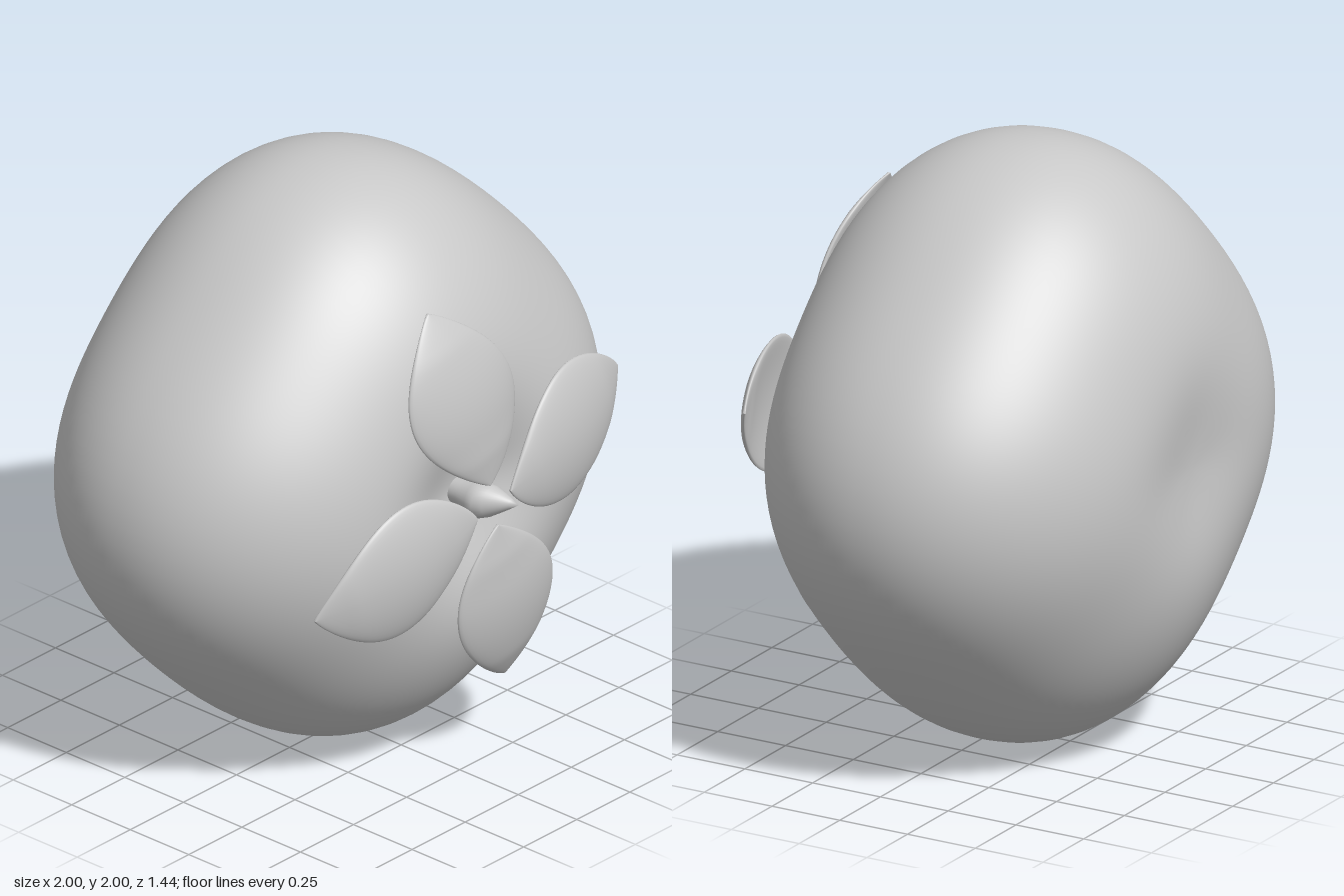
import * as THREE from 'three';
import { mergeVertices } from 'three/addons/utils/BufferGeometryUtils.js';

const skin = new THREE.MeshStandardMaterial({ color: 0xc8c8c8 });
skin.name = 'plain grey';

function part(name, geometry) {
  const mesh = new THREE.Mesh(geometry, skin);
  mesh.name = name;
  return mesh;
}

// Weld a geometry along its seams and give it smooth normals
function smooth(geometry) {
  geometry.deleteAttribute('uv');
  geometry.deleteAttribute('normal');
  const welded = mergeVertices(geometry, 1e-5);
  welded.computeVertexNormals();
  return welded;
}

// Fruit: flattened, four-lobed ball with a pit at the front and a faint hollow at the back
function fruitGeometry() {
  const geo = new THREE.SphereGeometry(1, 96, 96).rotateX(Math.PI / 2);
  const pos = geo.attributes.position;
  const power = (v) => Math.sign(v) * Math.abs(v) ** (2 / 2.1);
  for (let i = 0; i < pos.count; i++) {
    const x = pos.getX(i), y = pos.getY(i), z = pos.getZ(i);
    const angle = Math.atan2(y, x);
    const r = power(Math.hypot(x, y));
    const lobed = r * (0.96 + 0.04 * Math.cos(4 * angle));
    const hollow = Math.exp(-((r / 0.3) ** 2));
    const depth = z > 0 ? power(z) * 0.715 - 0.16 * hollow : power(z) * 0.7 + 0.075 * hollow;
    pos.setXYZ(i, lobed * Math.cos(angle), lobed * Math.sin(angle), depth - 0.07);
  }
  return smooth(geo);
}

// Sepal: thin cupped leaf along +x, lofted from flat rounded cross-sections
function sepalGeometry() {
  const rings = 40, sides = 40, start = 0.08, end = 0.735;
  const points = [], index = [];
  for (let i = 0; i <= rings; i++) {
    const t = 0.5 - 0.5 * Math.cos((Math.PI * i) / rings);
    const u = start + (end - start) * t;
    const upper = 0.228 * Math.max(0, Math.sin(Math.PI * t ** 1.12)) ** 0.8;
    const lower = 0.222 * Math.max(0, Math.sin(Math.PI * t ** 0.86)) ** 0.85;
    const thick = 0.02 * Math.min(1, 0.25 + 4 * Math.min(t, 1 - t));
    for (let j = 0; j < sides; j++) {
      const a = (j / sides) * Math.PI * 2;
      const c = Math.cos(a), s = Math.sin(a);
      const v = c * (c > 0 ? upper : lower);
      const h = Math.sign(s) * Math.abs(s) ** 0.8 * thick;
      points.push(u, v, 0.645 - 0.63 * Math.max(0, u - 0.3) ** 2 - 0.7 * v * v + h);
      if (i < rings) {
        const p = i * sides + j, q = i * sides + ((j + 1) % sides);
        index.push(p, p + sides, q, q, p + sides, q + sides);
      }
    }
  }
  // Close both ends
  for (let j = 1; j < sides - 1; j++) {
    const e = rings * sides;
    index.push(0, j, j + 1, e, e + j + 1, e + j);
  }
  // Turn the faces outward
  for (let k = 0; k < index.length; k += 3) {
    [index[k + 1], index[k + 2]] = [index[k + 2], index[k + 1]];
  }
  const geo = new THREE.BufferGeometry();
  geo.setAttribute('position', new THREE.Float32BufferAttribute(points, 3));
  geo.setIndex(index);
  geo.computeVertexNormals();
  return geo;
}

// Stem: slim neck with a swollen head and pointed tip
function stemGeometry() {
  const profile = [[0.045, 0], [0.042, 0.12], [0.045, 0.22], [0.058, 0.27], [0.06, 0.3],
    [0.052, 0.33], [0.033, 0.365], [0.016, 0.395], [0, 0.42]];
  const geo = new THREE.LatheGeometry(profile.map(([r, h]) => new THREE.Vector2(r, h)), 32);
  const pos = geo.attributes.position;
  for (let i = 0; i < pos.count; i++) {
    const lean = Math.max(0, pos.getY(i) - 0.3);
    pos.setX(i, pos.getX(i) + 0.3 * lean);
    pos.setZ(i, pos.getZ(i) - 0.1 * lean);
  }
  return smooth(geo.rotateX(Math.PI / 2).translate(0, 0, 0.3));
}

export function createModel() {
  const model = new THREE.Group();
  model.name = 'fruit';
  const body = new THREE.Group();
  body.name = 'body';
  body.position.y = 1;
  model.add(body);

  body.add(part('flesh', fruitGeometry()), part('stem', stemGeometry()));

  // Four sepals around the stem
  const calyx = new THREE.Group();
  calyx.name = 'calyx';
  const sepal = sepalGeometry();
  for (let k = 0; k < 4; k++) {
    const leaf = part('sepal', sepal);
    leaf.rotation.z = THREE.MathUtils.degToRad(14.2 + 90 * k);
    calyx.add(leaf);
  }
  body.add(calyx);
  return model;
}
